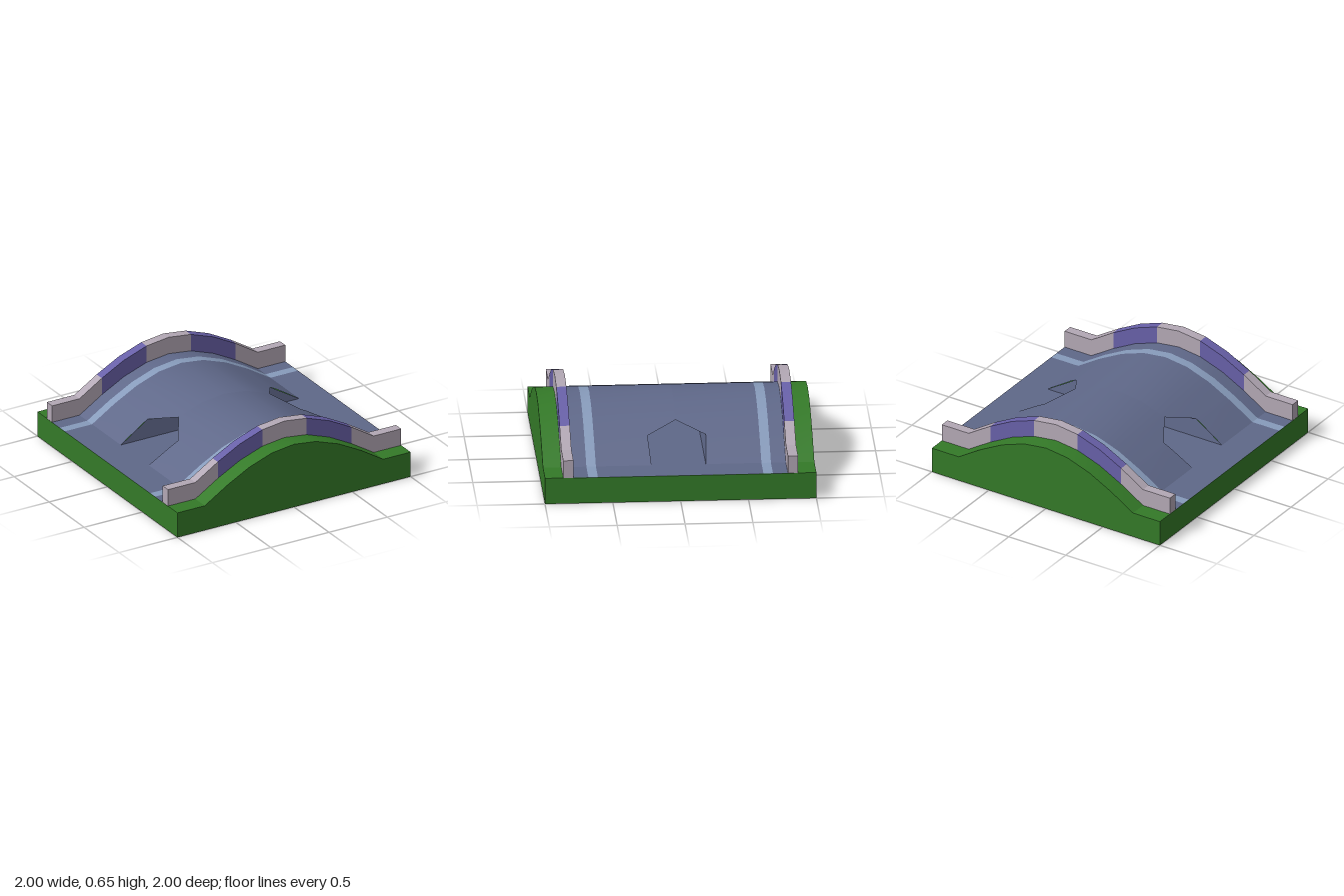
import * as THREE from 'three';
import { toCreasedNormals } from 'three/addons/utils/BufferGeometryUtils.js';

// Hump profile, x >= 0: [x, y]
const HALF = [[0, 0.512], [0.19, 0.488], [0.383, 0.42], [0.573, 0.32], [0.765, 0.2], [1, 0.2]];
const PROFILE = [...HALF.slice(1).reverse().map(([x, y]) => [-x, y]), ...HALF];
const CREASE = 0.4;

const height = (x) => {
  const a = Math.abs(x);
  const i = Math.max(1, HALF.findIndex((p) => p[0] >= a));
  const [x0, y0] = HALF[i - 1], [x1, y1] = HALF[i];
  return y0 + (y1 - y0) * (a - x0) / (x1 - x0);
};

const mat = (color) => new THREE.MeshStandardMaterial({ color, side: THREE.DoubleSide });
const GREEN = mat(0x347a28), ROAD = mat(0x5f6889), LINE = mat(0x879bbb);
const PALE = mat(0xb3a8b5), PURPLE = mat(0x6860a8);

function add(group, name, geometry, material) {
  const mesh = new THREE.Mesh(geometry, material);
  mesh.name = name;
  group.add(mesh);
  return mesh;
}

// Skin a row of equal-length cross-sections with quads
function loft(rows) {
  const pos = [];
  for (let i = 0; i + 1 < rows.length; i++) {
    for (let j = 0; j + 1 < rows[i].length; j++) {
      const a = rows[i][j], b = rows[i][j + 1], c = rows[i + 1][j + 1], d = rows[i + 1][j];
      pos.push(...a, ...b, ...c, ...a, ...c, ...d);
    }
  }
  const g = new THREE.BufferGeometry();
  g.setAttribute('position', new THREE.Float32BufferAttribute(pos, 3));
  g.computeVertexNormals();
  return toCreasedNormals(g, CREASE);
}

// Extrude an x-y outline between two z values
function slab(points, z0, z1) {
  const shape = new THREE.Shape(points.map(([x, y]) => new THREE.Vector2(x, y)));
  const g = new THREE.ExtrudeGeometry(shape, { depth: z1 - z0, bevelEnabled: false });
  g.translate(0, 0, z0);
  return toCreasedNormals(g, CREASE);
}

// Half width of the tunnel mouth where it cuts the road slope
const MOUTH = [[0.39, 0], [0.525, 0.215], [0.765, 0.2]];
function mouthHalfWidth(x) {
  const a = Math.abs(x);
  if (a <= 0.39 || a > 0.766) return 0;
  const k = a <= 0.525 ? 0 : 1;
  const [x0, w0] = MOUTH[k], [x1, w1] = MOUTH[k + 1];
  return w0 + (w1 - w0) * (a - x0) / (x1 - x0);
}

// x stations of the road, including the mouth corners
const STATIONS = [...PROFILE.map((p) => p[0]), -0.525, -0.39, 0.39, 0.525].sort((a, b) => a - b);

// Road strip on one side, from an inner to an outer z; inner may depend on x
function strip(side, inner, outer, stations = STATIONS) {
  const rows = stations.map((x) => {
    const zs = [inner(x), outer].map((z) => z * side);
    if (side < 0) zs.reverse();
    return zs.map((z) => [x, height(x), z]);
  });
  // order corners so that the faces look up
  return loft(rows.map((r) => r.reverse()).reverse());
}

export function createModel() {
  const model = new THREE.Group();

  // Grass base, just below the road surface
  const base = new THREE.BoxGeometry(2, 0.198, 1.73);
  base.translate(0, 0.099, 0);
  add(model, 'grassBase', base, GREEN);

  for (const side of [1, -1]) {
    const tag = side > 0 ? 'front' : 'back';
    const span = (a, b) => (side > 0 ? [a, b] : [-b, -a]);

    // Grass verge following the hump
    add(model, tag + 'Verge', slab([[-1, 0], [1, 0], ...[...PROFILE].reverse()], ...span(0.865, 1)), GREEN);

    // Kerb in alternating colours
    const cuts = [-1, -0.573, -0.19, 0.19, 0.573, 1];
    for (let i = 0; i < 5; i++) {
      const part = PROFILE.filter(([x]) => x >= cuts[i] && x <= cuts[i + 1]);
      const top = part.map(([x, y]) => [x, y + 0.134]).reverse();
      add(model, `${tag}Kerb${i + 1}`, slab([...part, ...top], ...span(0.79, 0.865)), i % 2 ? PURPLE : PALE);
    }

    // Road surface: flat ends and slopes cut by the tunnel mouths
    const middle = STATIONS.filter((x) => Math.abs(x) < 0.77);
    add(model, tag + 'Road', strip(side, mouthHalfWidth, 0.61, middle), ROAD);
    add(model, tag + 'RoadLeftEnd', strip(side, () => 0, 0.61, [0.765, 1]), ROAD);
    add(model, tag + 'RoadRightEnd', strip(side, () => 0, 0.61, [-1, -0.765]), ROAD);
    add(model, tag + 'RoadLine', strip(side, () => 0.61, 0.68), LINE);
    add(model, tag + 'RoadEdge', strip(side, () => 0.68, 0.79), ROAD);
  }

  // Tunnel through the hump: walls and pitched ceiling, then the floor
  const section = [[0.765, 0.2], [0.525, 0.215], [0.39, 0], [0.525, -0.215], [0.765, -0.2]];
  const end = (s) => section.map(([x, z]) => [s * x, height(x), z]);
  add(model, 'tunnelWalls', loft([end(-1), end(1)]), ROAD);
  const floor = new THREE.PlaneGeometry(1.53, 0.4);
  floor.rotateX(-Math.PI / 2);
  floor.translate(0, 0.2, 0);
  add(model, 'tunnelFloor', floor, ROAD);

  return model;
}
